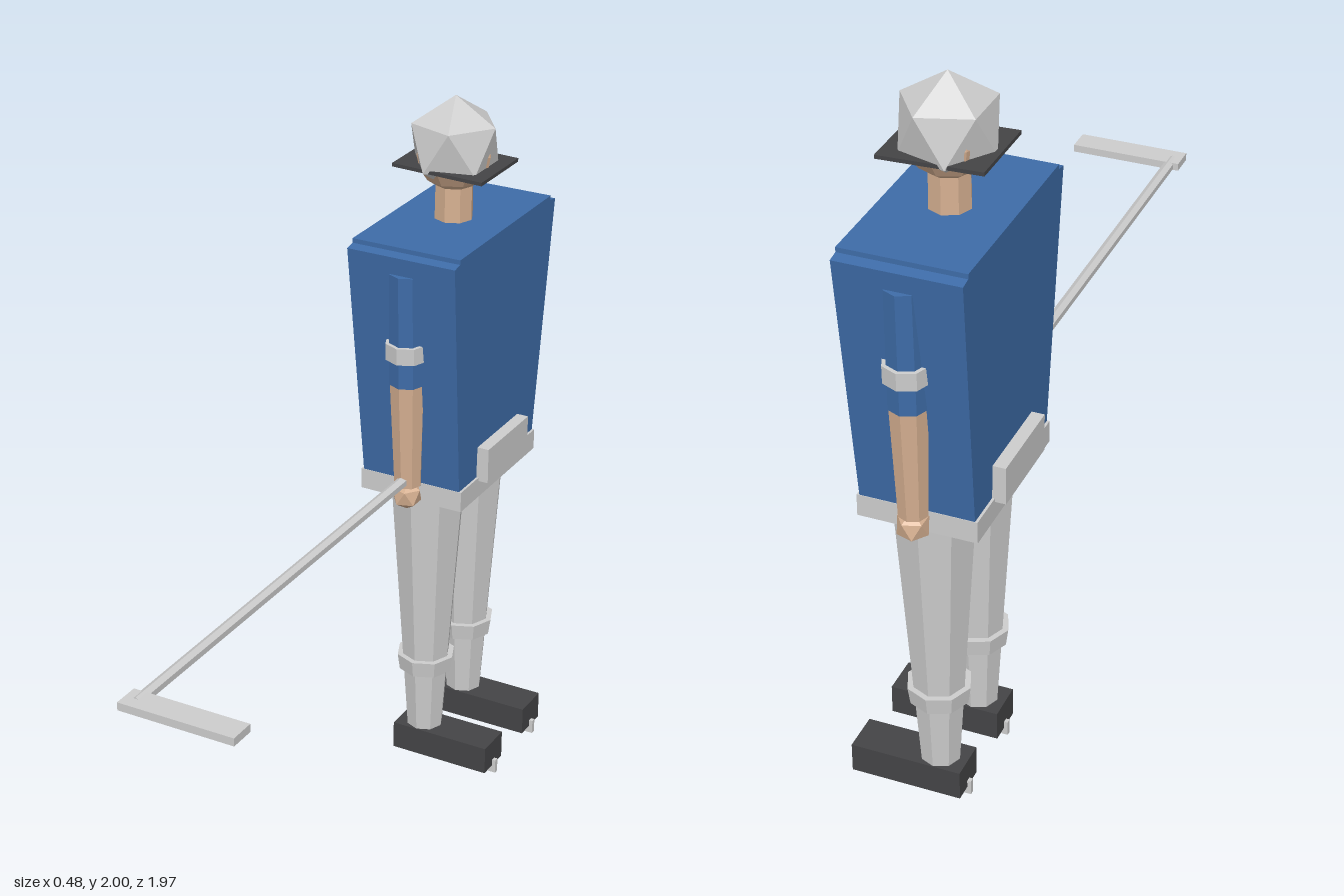
import * as THREE from 'three';

export function createModel() {
  const root = new THREE.Group();
  root.name = 'hockeyPlayer';
  const mat = (name, color) => {
    const m = new THREE.MeshStandardMaterial({ color, flatShading: true });
    m.name = name;
    return m;
  };
  const blue = mat('jerseyBlue', 0x3e6ca8);
  const grey = mat('lightGrey', 0xcdcdcd);
  const dark = mat('darkGrey', 0x444446);
  const skin = mat('skin', 0xd6b091);
  const X = -0.055, Z = -0.666; // body axis

  const add = (name, geo, material, x = 0, y = 0, z = 0) => {
    const m = new THREE.Mesh(geo, material);
    m.name = name;
    m.position.set(x, y, z);
    root.add(m);
    return m;
  };
  // box given by its limits on each axis
  const box = (name, material, x0, x1, y0, y1, z0, z1) =>
    add(name, new THREE.BoxGeometry(x1 - x0, y1 - y0, z1 - z0), material,
      (x0 + x1) / 2, (y0 + y1) / 2, (z0 + z1) / 2);
  // tapered limb from an upper to a lower point
  const limb = (name, material, top, bottom, rTop, rBottom, sides = 8) => {
    const a = new THREE.Vector3(...top), b = new THREE.Vector3(...bottom);
    const dir = a.clone().sub(b);
    const m = add(name, new THREE.CylinderGeometry(rTop, rBottom, dir.length(), sides), material);
    m.position.copy(a).add(b).multiplyScalar(0.5);
    m.quaternion.setFromUnitVectors(new THREE.Vector3(0, 1, 0), dir.normalize());
    return m;
  };
  // icosahedron standing on a corner
  const ico = (r) => new THREE.IcosahedronGeometry(r, 0).rotateZ(-0.5536);

  // head, helmet, visor and neck
  add('helmet', ico(0.134), grey, X, 1.866, Z);
  add('head', new THREE.SphereGeometry(0.108, 8, 8), skin, X, 1.843, Z);
  const visor = box('helmetBrim', dark, -0.188, 0.082, 1.806, 1.816, Z - 0.11, Z + 0.11);
  visor.rotation.z = -0.03;
  limb('neck', skin, [X, 1.8, Z], [X, 1.62, Z], 0.053, 0.055);

  // torso: wide at the shoulders, narrowing to the waist
  const outline = [[0.23, 0.947], [0.305, 1.637], [0.275, 1.642], [0.275, 1.655]];
  const mirrored = outline.map(([z, y]) => [-z, y]).reverse();
  const shape = new THREE.Shape([...outline, ...mirrored].map((p) => new THREE.Vector2(...p)));
  const torso = new THREE.ExtrudeGeometry(shape, { depth: 2, bevelEnabled: false });
  torso.translate(0, 0, -1).rotateY(Math.PI / 2);
  const pos = torso.attributes.position;
  for (let i = 0; i < pos.count; i++) {
    const t = (pos.getY(i) - 0.947) / 0.708;
    pos.setX(i, pos.getX(i) * (0.15 + 0.012 * t));
  }
  torso.computeVertexNormals();
  add('torso', torso, blue, X, 0, Z);

  // hips with front and back pads
  box('hips', grey, X - 0.157, X + 0.157, 0.89, 0.95, Z - 0.232, Z + 0.232);
  box('hipPads', grey, X - 0.186, X + 0.186, 0.94, 1.043, Z - 0.125, Z + 0.125);

  for (const s of [1, -1]) {
    const side = s > 0 ? 'near' : 'far';
    // leg, knee band and skate
    const lz = Z + s * 0.125;
    limb(side + 'Leg', grey, [X, 0.9, lz], [X, 0.09, lz], 0.108, 0.052);
    limb(side + 'ShinBand', grey, [X, 0.347, lz], [X, 0.298, lz], 0.086, 0.079);
    box(side + 'Boot', dark, -0.13, 0.173, 0.022, 0.105, lz - 0.055, lz + 0.055);
    box(side + 'SkateBlade', grey, -0.14, 0.184, 0, 0.042, lz - 0.007, lz + 0.007);

    // arm, leaning along the side of the torso
    const at = (y) => [X, y, Z + s * (0.25 + 0.017 * (y - 0.96) / 0.625)];
    limb(side + 'Sleeve', blue, at(1.587), at(1.262), 0.05, 0.052);
    limb(side + 'SleeveBand', grey, at(1.386), at(1.338), 0.062, 0.062);
    limb(side + 'Forearm', skin, at(1.262), at(0.95), 0.05, 0.039);
    add(side + 'Hand', ico(0.045), skin, X, 0.918, Z + s * 0.254);
  }

  // stick held out to the side
  limb('stickShaft', grey, [X, 0.968, 0.95], [X, 0.968, -0.41], 0.016, 0.016, 6);
  box('stickBlade', grey, -0.085, 0.24, 0.958, 0.98, 0.912, 0.985);

  return root;
}
